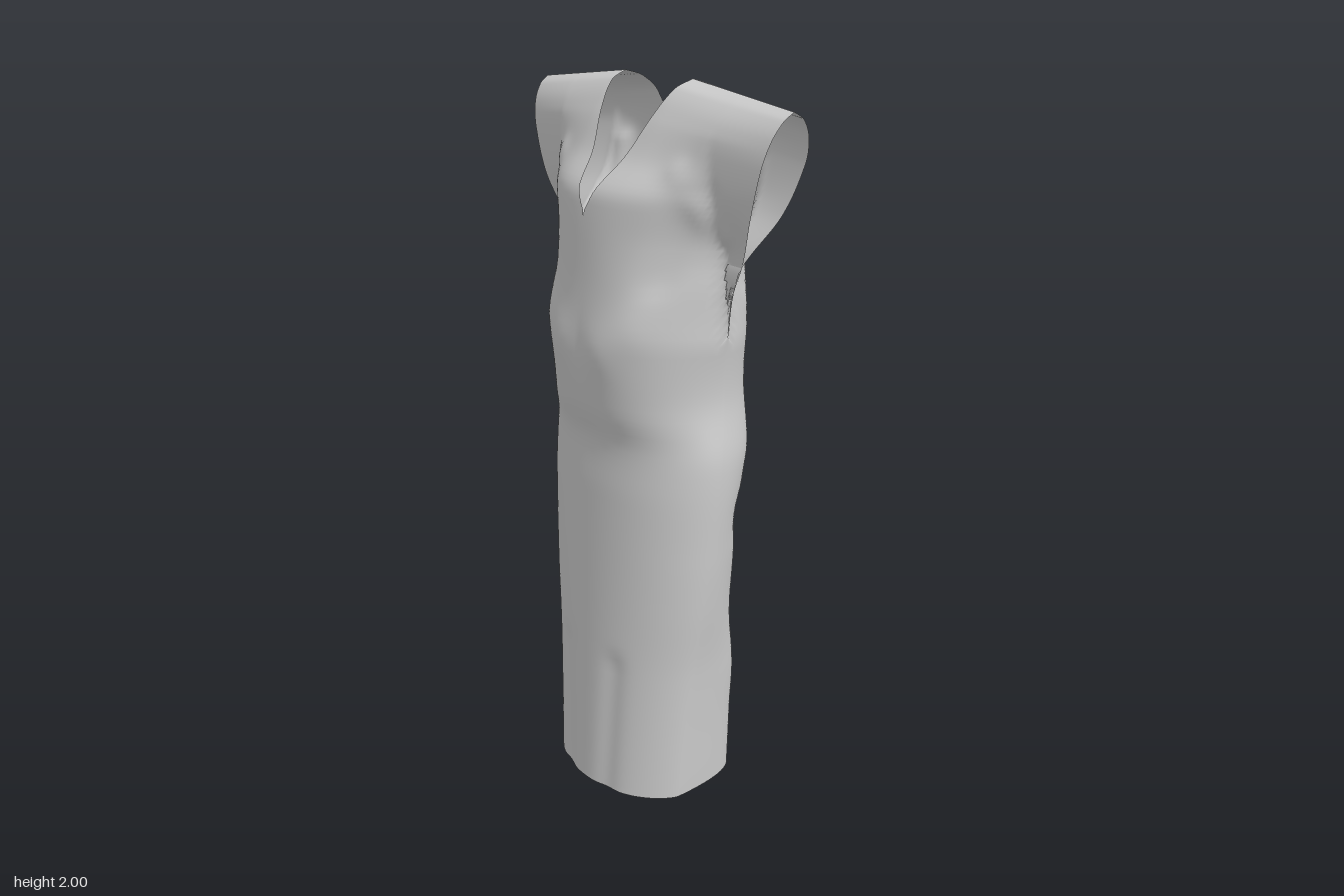
import * as THREE from 'three';
import { mergeGeometries, mergeVertices } from 'three/addons/utils/BufferGeometryUtils.js';

const { clamp, lerp, smoothstep } = THREE.MathUtils;

// Smooth curve through [y, value] pairs
function curve(points) {
  const slope = (i) => {
    const a = points[Math.max(i - 1, 0)], b = points[Math.min(i + 1, points.length - 1)];
    return (b[1] - a[1]) / (b[0] - a[0]);
  };
  return (y) => {
    let i = 0;
    while (i < points.length - 2 && y > points[i + 1][0]) i++;
    const [y0, a] = points[i], [y1, b] = points[i + 1];
    const d = y1 - y0, t = clamp((y - y0) / d, 0, 1), t2 = t * t, t3 = t2 * t;
    return a * (2 * t3 - 3 * t2 + 1) + b * (3 * t2 - 2 * t3)
      + d * (slope(i) * (t3 - 2 * t2 + t) + slope(i + 1) * (t3 - t2));
  };
}

// Half width of the garment, out to the sleeve hems at the top
const width = curve([[0, 0.257], [0.39, 0.279], [0.6, 0.304], [0.76, 0.318], [1.02, 0.328], [1.2, 0.302],
  [1.38, 0.32], [1.5, 0.35], [1.69, 0.43], [1.85, 0.472], [2, 0.507]]);

// Side seam, shared by both panels up to the underarm
const seam = [[0, 0.07], [0.5, 0.03], [1, -0.01], [1.2, -0.03], [1.4, -0.025], [1.5, -0.015], [1.57, -0.015]];

// Each panel: depth at the centre, depth at the side edge, roundness, neckline and folds
const frontPanel = {
  sign: 1,
  centre: curve([[0, 0.22], [0.6, 0.2], [0.92, 0.188], [1.06, 0.182], [1.15, 0.205], [1.29, 0.22],
    [1.5, 0.205], [1.7, 0.19], [1.74, 0.176], [1.81, 0.115], [1.91, 0.057], [1.98, 0], [2, -0.05]]),
  edge: curve([...seam, [1.7, 0.013], [1.85, 0.018], [1.93, 0.005], [1.98, -0.022], [2, -0.05]]),
  flare: 0.03,
  power: curve([[0, 2.3], [0.6, 2.2], [1, 2.3], [1.4, 2.3], [2, 2.3]]),
  round: curve([[0, 0.7], [0.5, 0.57], [1, 0.55], [1.35, 0.6], [1.7, 0.95], [2, 1.1]]),
  neck: (y) => 0.138 * Math.max((y - 1.675) / 0.325, 0) ** 0.83,
  folds: [
    [0.27, 1.74, 0.22, 1.52, 0.04, -0.015],
    [0.24, 1.8, 0.33, 1.64, 0.03, 0.01],
    [0.1, 1.33, 0.17, 1.38, 0.07, 0.012],
    [0.09, 0, 0.11, 0.4, 0.035, -0.008],
  ],
};
const backPanel = {
  sign: -1,
  centre: curve([[0, -0.18], [0.2, -0.185], [0.36, -0.19], [0.6, -0.147], [0.86, -0.155], [0.95, -0.185],
    [1.05, -0.216], [1.3, -0.212], [1.55, -0.213], [1.79, -0.192], [1.94, -0.15], [1.985, -0.1], [2, -0.05]]),
  edge: curve([...seam, [1.7, -0.09], [1.85, -0.125], [1.93, -0.115], [1.98, -0.085], [2, -0.05]]),
  flare: 0.02,
  power: curve([[0, 8], [0.3, 6], [0.7, 4], [1, 3.4], [1.4, 3.2], [2, 3]]),
  round: curve([[0, 0.5], [0.4, 0.5], [0.8, 0.5], [1.2, 0.6], [1.5, 0.65], [1.8, 0.95], [2, 1]]),
  neck: (y) => 0.138 * Math.max((y - 1.665) / 0.335, 0) ** 0.44,
  folds: [
    [0.28, 0.75, 0.13, 0.42, 0.05, 0.014],
    [0.13, 0.42, 0, 0.34, 0.05, 0.01],
    [0.24, 0.92, 0, 0.76, 0.05, 0.008],
    [0.28, 1.8, 0.27, 1.5, 0.025, -0.016],
  ],
};

// Height of a soft fold running along a line segment
function foldHeight(x, y, [x0, y0, x1, y1, size, height]) {
  const dx = x1 - x0, dy = y1 - y0;
  const t = clamp(((x - x0) * dx + (y - y0) * dy) / (dx * dx + dy * dy), 0, 1);
  const d = Math.hypot(x - x0 - t * dx, y - y0 - t * dy) / size;
  return height * Math.exp(-d * d);
}

// Rows gather towards the shoulder line, where the panels meet
const rows = [];
for (let i = 0; i < 64; i++) rows.push((i / 64) * 1.6);
for (let i = 0; i <= 40; i++) rows.push(1.6 + 0.4 * Math.sin((i / 40) * Math.PI / 2));

function makePanel({ sign, centre, edge, flare, power, round, neck, folds }) {
  const n = 44, cols = 2 * (n + 1), positions = [], index = [];
  rows.forEach((y, r) => {
    const w = width(y), inner = neck(y);
    // The body ends here; beyond it the cloth thins into the underarm and sleeve
    const reach = Math.min(w, lerp(0.34, 0.315, smoothstep(y, 1.1, 1.4)));
    for (let c = 0; c < cols; c++) {
      const side = c <= n ? -1 : 1;
      const u = c <= n ? 1 - c / n : (c - n - 1) / n;
      const x = lerp(inner, w, Math.sin(u * Math.PI / 2));
      const s = Math.min(x / reach, 1);
      const shape = Math.max(1 - s ** power(y), 0) ** round(y);
      let z = lerp(edge(y), centre(y), shape);
      // Sleeves widen towards the body
      const sleeve = smoothstep(y, 1.6, 1.75) * Math.sqrt(Math.min(1, (2 - y) / 0.1));
      z += sign * flare * sleeve * (1 - shape) * clamp((w - x) / 0.18, 0, 1);
      // Folds fade out at the side seams and the shoulder line
      const fade = Math.min(1, (w - x) / 0.06) * Math.min(1, (2 - y) / 0.1);
      for (const f of folds) z += sign * fade * foldHeight(x, y, f);
      const slope = 0.045 * clamp((x - 0.13) / 0.37, 0, 1);
      positions.push(side * x, y - slope * smoothstep(y, 1.6, 2), z);
      // No faces across the centre where the neckline is open
      if (r === 0 || c === 0 || c === n + 1) continue;
      const d = r * cols + c, e = d - 1, a = e - cols, b = d - cols;
      if (sign > 0) index.push(a, b, d, a, d, e);
      else index.push(a, d, b, a, e, d);
    }
  });
  const geometry = new THREE.BufferGeometry();
  geometry.setAttribute('position', new THREE.Float32BufferAttribute(positions, 3));
  geometry.setIndex(index);
  return geometry;
}

export function createModel() {
  const dress = new THREE.Group();
  dress.name = 'dress';
  // Sew the panels together along the centre, side seams and shoulders
  const cloth = mergeVertices(mergeGeometries([makePanel(frontPanel), makePanel(backPanel)]), 1e-5);
  cloth.computeVertexNormals();
  const shell = new THREE.Mesh(cloth, new THREE.MeshStandardMaterial({ color: 0xcccccc, side: THREE.DoubleSide }));
  shell.name = 'sewnDressCloth';
  dress.add(shell);
  return dress;
}
